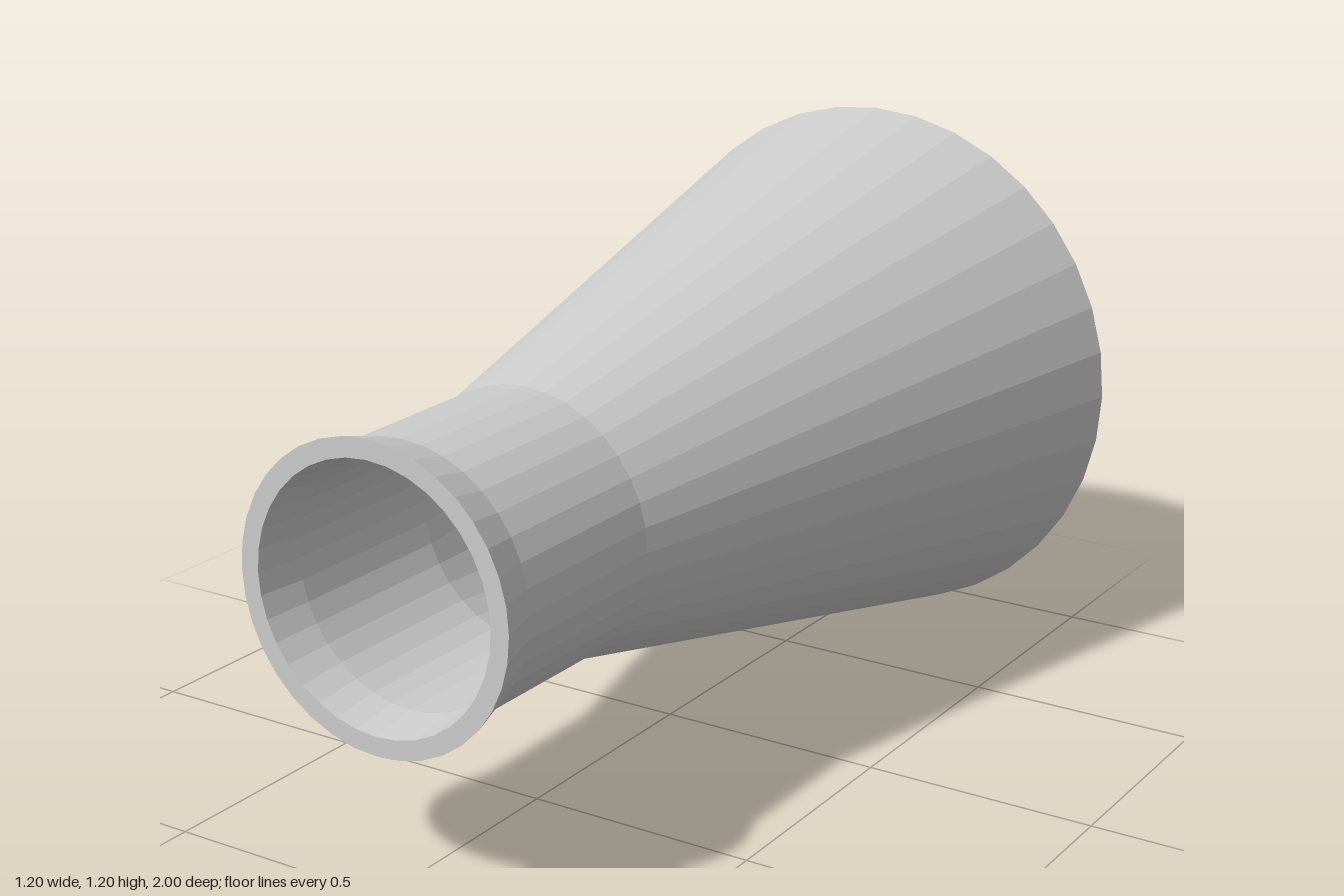
import * as THREE from 'three';

const SIDES = 36;
const CENTRE_Y = 0.6;

// Turns a [radius, z] profile around the horizontal z axis.
function turned(name, profile, material) {
  const points = profile.map(([r, z]) => new THREE.Vector2(r, z));
  const geometry = new THREE.LatheGeometry(points, SIDES);
  geometry.rotateX(Math.PI / 2);
  const mesh = new THREE.Mesh(geometry, material);
  mesh.name = name;
  mesh.position.y = CENTRE_Y;
  return mesh;
}

export function createModel() {
  const group = new THREE.Group();
  group.name = 'flask';
  const material = new THREE.MeshStandardMaterial({ color: 0xcccccc, flatShading: true });

  // Closed base, bevelled shoulder, tapering body, neck and flared lip
  group.add(turned('outerShell', [
    [0, -1], [0.525, -1], [0.525, -0.97], [0.6, -0.875],
    [0.285, 0.52], [0.283, 0.9], [0.31, 1],
  ], material));

  // Flat ring around the mouth
  group.add(turned('mouthRim', [[0.31, 1], [0.27, 1]], material));

  // Hollow inside, from the mouth down to the floor
  group.add(turned('innerWall', [
    [0.27, 1], [0.253, 0.9], [0.253, 0.52], [0.565, -0.865],
    [0.495, -0.95], [0, -0.95],
  ], material));

  return group;
}
